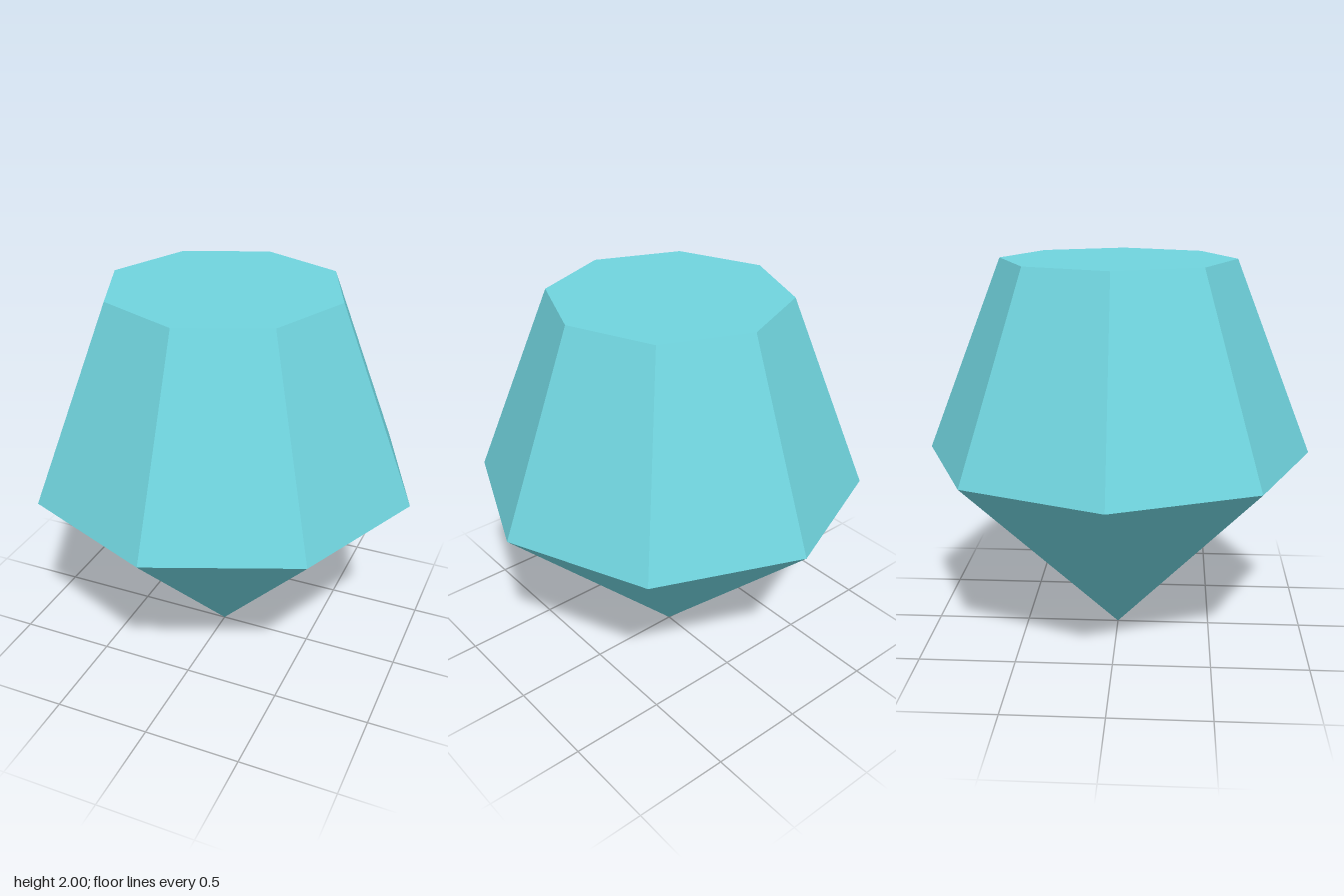
import * as THREE from 'three';

const SIDES = 8;

export function createModel() {
  const gem = new THREE.Group();
  gem.name = 'gem';

  const gemBlue = new THREE.MeshStandardMaterial({ color: 0x70d4de, flatShading: true });
  gemBlue.name = 'gemBlue';

  const addPart = (name, geometry, y) => {
    const mesh = new THREE.Mesh(geometry, gemBlue);
    mesh.name = name;
    mesh.position.y = y;
    gem.add(mesh);
  };

  // Tapered upper half, closed by a flat octagonal table
  addPart('crown', new THREE.CylinderGeometry(0.6, 1, 1, SIDES, 1, true), 1.5);
  addPart('table', new THREE.CircleGeometry(0.6, SIDES).rotateX(-Math.PI / 2), 2);

  // Lower half, narrowing to a point on the ground
  addPart('pavilion', new THREE.CylinderGeometry(1, 0, 1, SIDES, 1, true), 0.5);

  return gem;
}
